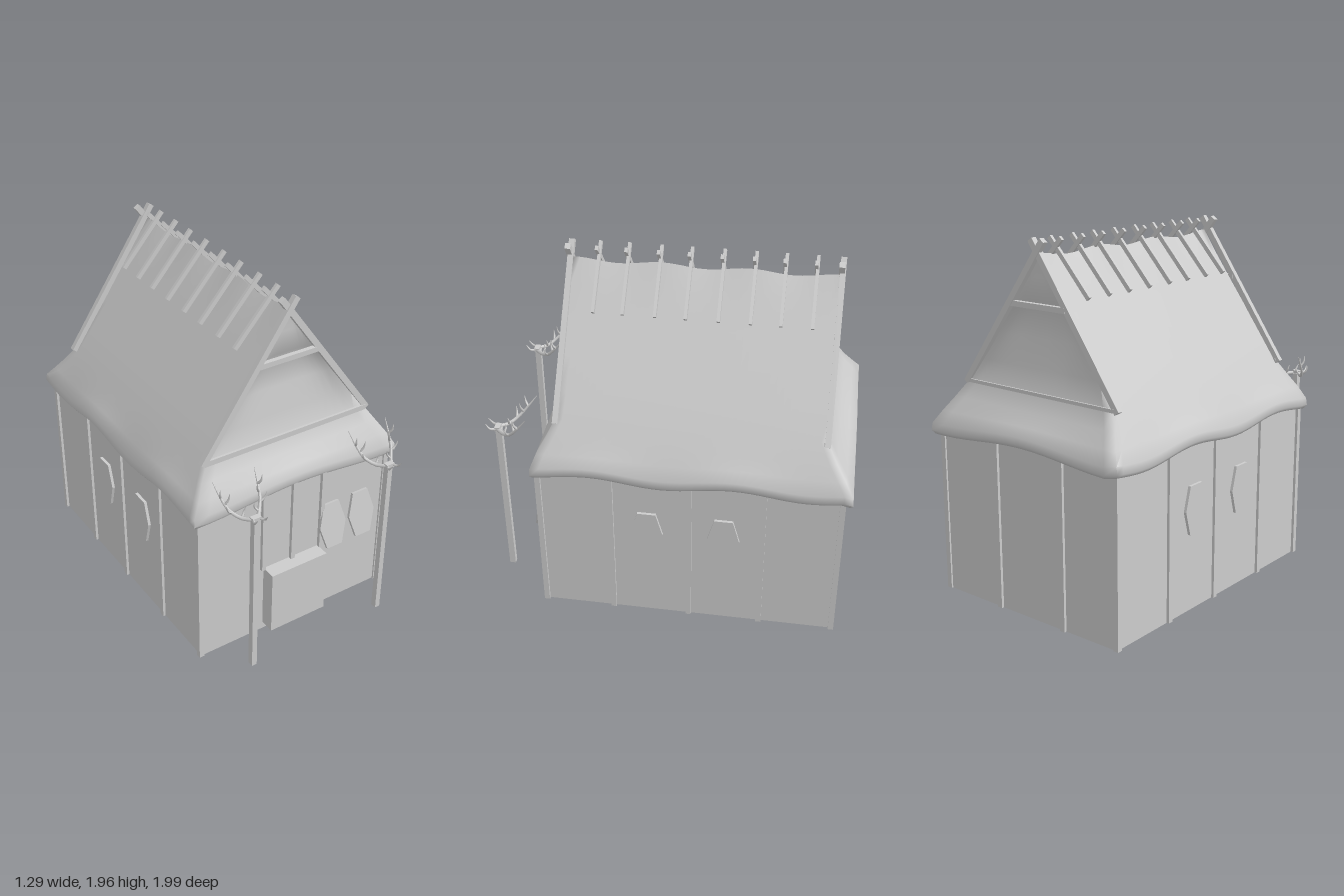
import * as THREE from 'three';
import { toCreasedNormals } from 'three/addons/utils/BufferGeometryUtils.js';

const grey = new THREE.MeshStandardMaterial({ color: 0xcccccc, side: THREE.DoubleSide });
const FRONT = 0.69, BACK = -0.94, HALF = 0.6;

function add(parent, name, geometry, x = 0, y = 0, z = 0) {
  const mesh = new THREE.Mesh(geometry, grey);
  mesh.name = name;
  mesh.position.set(x, y, z);
  parent.add(mesh);
  return mesh;
}

const box = (parent, name, w, h, d, x, y, z) =>
  add(parent, name, new THREE.BoxGeometry(w, h, d), x, y, z);

// Straight timber lying in a plane of constant z
function timber(parent, name, [x1, y1], [x2, y2], z, width, depth) {
  const length = Math.hypot(x2 - x1, y2 - y1);
  const mesh = box(parent, name, length, width, depth, (x1 + x2) / 2, (y1 + y2) / 2, z);
  mesh.rotation.z = Math.atan2(y2 - y1, x2 - x1);
}

// Thatched roof lofted through rectangular rings
function roofGeometry() {
  // y, half width, front z, back z, eave waviness, gable inset
  const rings = [
    [0.92, 0.595, 0.685, -0.935, 0.6, 0],
    [0.90, 0.63, 0.70, -0.97, 1, 0],
    [0.92, 0.645, 0.712, -0.985, 1, 0],
    [0.96, 0.64, 0.708, -0.982, 0.9, 0],
    [1.02, 0.60, 0.68, -0.94, 0.3, 0],
    [1.09, 0.553, 0.637, -0.888, 0, 0],
    [1.18, 0.495, 0.59, -0.835, 0, 0],
    [1.30, 0.41, 0.582, -0.825, 0, 0.015],
    [1.45, 0.302, 0.578, -0.82, 0, 0.035],
    [1.60, 0.194, 0.575, -0.82, 0, 0.055],
    [1.64, 0.165, 0.575, -0.82, 0, 0.015],
    [1.76, 0.08, 0.573, -0.82, 0, 0.01],
    [1.87, 0, 0.572, -0.82, 0, 0],
  ];
  const S = 36, E = 16, N = 2 * (S + E);
  const pos = [], index = [];
  rings.forEach(([y, w, zf, zb, wave, inset], r) => {
    for (let j = 0; j < N; j++) {
      let x, z, dy;
      const k = j % (S + E), other = j >= S + E;
      if (k < S) {
        const t = other ? 1 - k / S : k / S;
        x = other ? -w : w;
        z = zf + (zb - zf) * t;
        dy = 0.018 * Math.cos(2 * Math.PI * (z - 0.4) / 0.77);
      } else {
        const u = (1 - 2 * (k - S) / E) * (other ? -1 : 1);
        const dent = inset * (1 - u ** 4);
        x = w * u;
        z = other ? zf - dent : zb + dent;
        dy = 0.005 + 0.02 * Math.cos(Math.PI * x / 0.6);
      }
      if (r === rings.length - 1) dy = 0.011 * Math.cos(2 * Math.PI * (z - 0.1) / 0.46);
      pos.push(x, y + dy * (r === rings.length - 1 ? 1 : wave), z);
      if (r) {
        const a = (r - 1) * N + j, b = (r - 1) * N + (j + 1) % N;
        index.push(a, b, b + N, a, b + N, a + N);
      }
    }
  });
  const g = new THREE.BufferGeometry();
  g.setAttribute('position', new THREE.Float32BufferAttribute(pos, 3));
  g.setIndex(index);
  return toCreasedNormals(g, 1.6);
}

// Six-sided shield, standing in the xy plane
function shieldGeometry() {
  const shape = new THREE.Shape([[0.05, -0.133], [0.087, 0], [0.05, 0.133], [-0.05, 0.133], [-0.087, 0], [-0.05, -0.133]]
    .map(([x, y]) => new THREE.Vector2(x, y)));
  return new THREE.ExtrudeGeometry(shape, { depth: 0.016, bevelEnabled: false }).translate(0, 0, -0.008);
}

// Curved branch that narrows to a point
function branch(parent, name, points, radius) {
  const curve = new THREE.CatmullRomCurve3(points.map(p => new THREE.Vector3(...p)));
  const n = 10, sides = 6;
  const g = new THREE.TubeGeometry(curve, n, radius, sides);
  const p = g.attributes.position, v = new THREE.Vector3();
  for (let i = 0; i < p.count; i++) {
    const t = Math.floor(i / (sides + 1)) / n, c = curve.getPointAt(t);
    v.fromBufferAttribute(p, i).sub(c).multiplyScalar(1 - 0.85 * t * t).add(c);
    p.setXYZ(i, v.x, v.y, v.z);
  }
  g.computeVertexNormals();
  add(parent, name, g);
}

function antlerPole(x) {
  const pole = new THREE.Group();
  pole.name = 'antlerPole';
  pole.position.set(x, 0, 0.935);
  box(pole, 'pole', 0.03, 0.955, 0.034, 0, 0.5425, 0);
  box(pole, 'antlerMount', 0.05, 0.025, 0.03, 0, 1.025, 0.005);
  for (const s of [-1, 1]) {
    branch(pole, 'antlerBeam', [[s * 0.01, 1.025, 0.01], [s * 0.05, 1.02, -0.04], [s * 0.09, 1.05, -0.09],
      [s * 0.108, 1.1, -0.135], [s * 0.122, 1.17, -0.19]], 0.011);
    branch(pole, 'browTine', [[s * 0.015, 1.025, 0.005], [s * 0.03, 1.03, 0.04], [s * 0.028, 1.06, 0.065]], 0.008);
    branch(pole, 'innerTine', [[s * 0.05, 1.02, -0.04], [s * 0.03, 1.05, -0.05], [s * 0.025, 1.075, -0.045]], 0.007);
    branch(pole, 'lowerTine', [[s * 0.08, 1.04, -0.08], [s * 0.105, 1.06, -0.075], [s * 0.118, 1.095, -0.07]], 0.007);
    branch(pole, 'middleTine', [[s * 0.1, 1.075, -0.115], [s * 0.085, 1.105, -0.105], [s * 0.08, 1.14, -0.1]], 0.007);
    branch(pole, 'upperTine', [[s * 0.109, 1.105, -0.14], [s * 0.12, 1.13, -0.125], [s * 0.122, 1.165, -0.12]], 0.007);
  }
  return pole;
}

export function createModel() {
  const model = new THREE.Group();
  model.name = 'longhouse';

  // Walls, open below
  const depth = FRONT - BACK, mid = (FRONT + BACK) / 2;
  for (const s of [-1, 1]) {
    add(model, 'sideWall', new THREE.PlaneGeometry(depth, 0.93), s * HALF, 0.465, mid).rotation.y = s * Math.PI / 2;
  }
  add(model, 'frontWall', new THREE.PlaneGeometry(2 * HALF, 0.94), 0, 0.47, FRONT - 0.005);
  add(model, 'backWall', new THREE.PlaneGeometry(2 * HALF, 0.93), 0, 0.465, BACK).rotation.y = Math.PI;

  // Wall posts
  for (const z of [0.68, 0.29, -0.135, -0.53, -0.935])
    for (const s of [-1, 1]) box(model, 'wallPost', 0.03, 0.92, 0.03, s * 0.6, 0.46, z);
  for (const x of [0.2, -0.25]) box(model, 'backPost', 0.03, 0.92, 0.03, x, 0.46, BACK);
  for (const x of [-0.21, -0.02, 0.17]) box(model, 'serveryPost', 0.025, 0.51, 0.03, x, 0.685, FRONT);
  box(model, 'counter', 0.36, 0.385, 0.09, -0.02, 0.2375, 0.725);

  // Shields on the side walls and leaning against the front
  const shield = shieldGeometry();
  for (const z of [0.093, -0.322])
    for (const s of [-1, 1]) add(model, 'sideShield', shield, s * 0.61, 0.565, z).rotation.y = s * Math.PI / 2;
  for (const x of [0.23, 0.428]) add(model, 'leaningShield', shield, x, 0.57, 0.718).rotation.x = -0.19;

  // Roof, gable frames and crossed ridge sticks
  add(model, 'thatchRoof', roofGeometry());
  for (const z of [0.588, -0.828]) {
    timber(model, 'bargeBoard', [-0.52, 1.165], [0.025, 1.95], z + 0.003, 0.033, 0.03);
    timber(model, 'bargeBoard', [0.515, 1.165], [-0.06, 1.95], z - 0.003, 0.033, 0.03);
    timber(model, 'gableLowerBeam', [-0.51, 1.17], [0.505, 1.17], z, 0.03, 0.03);
    timber(model, 'gableUpperBeam', [-0.2, 1.622], [0.19, 1.622], z, 0.028, 0.026);
  }
  for (const z of [0.435, 0.28, 0.11, -0.05, -0.22, -0.385, -0.54, -0.7]) {
    timber(model, 'ridgeStick', [-0.23, 1.665], [0.025, 1.95], z + 0.003, 0.025, 0.017);
    timber(model, 'ridgeStick', [0.2, 1.665], [-0.06, 1.95], z - 0.003, 0.025, 0.017);
  }

  // Antler-topped poles before the entrance
  for (const x of [-0.435, 0.4]) model.add(antlerPole(x));
  return model;
}
